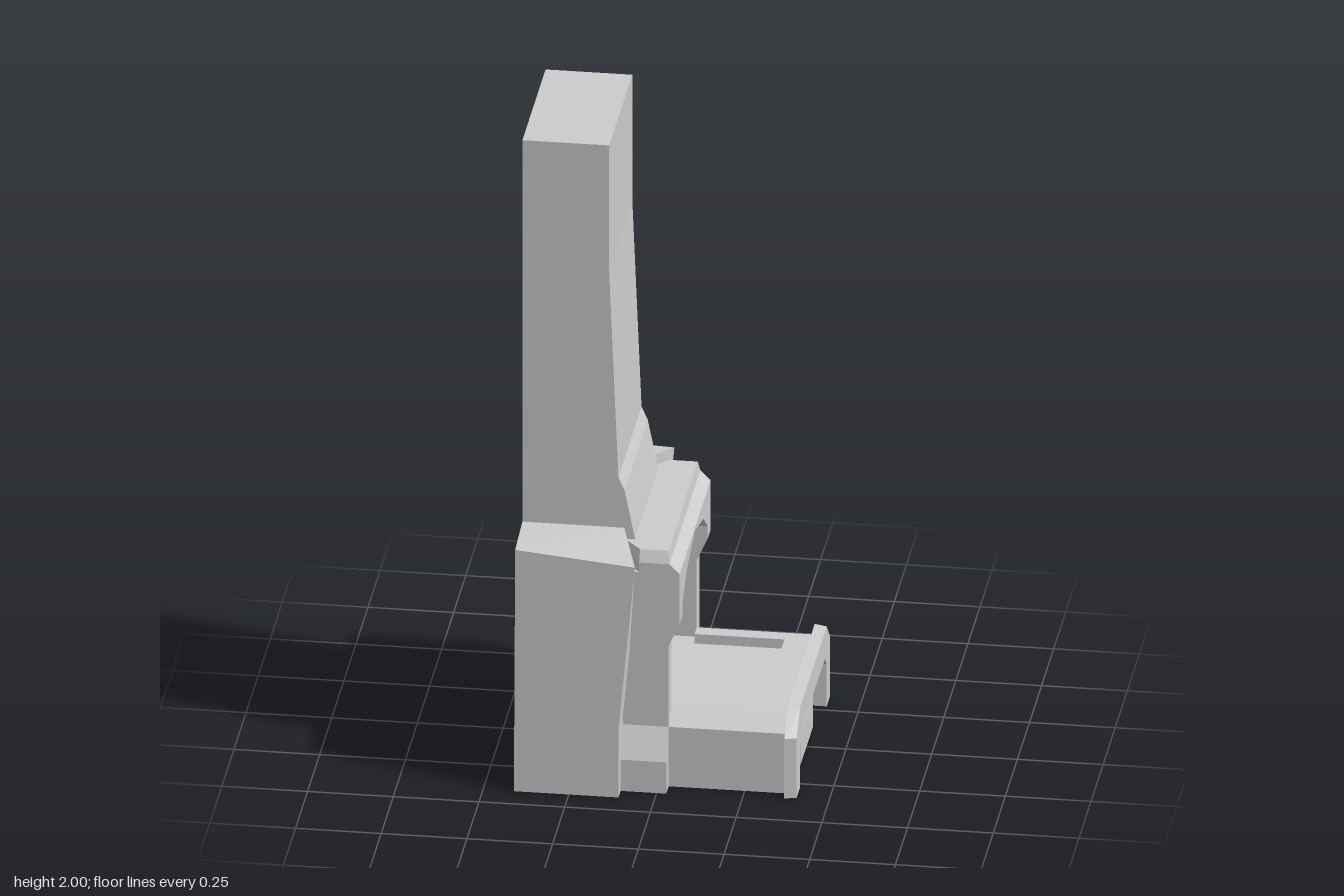
import * as THREE from 'three';

const material = new THREE.MeshStandardMaterial({ color: 0xcccccc, flatShading: true });

const toShape = (pts) => new THREE.Shape(pts.map(([a, b]) => new THREE.Vector2(a, b)));

// Extrudes an outline of [x, y] points from z0 to z1.
function extrudeZ(pts, z0, z1) {
  const g = new THREE.ExtrudeGeometry(toShape(pts), { depth: z1 - z0, bevelEnabled: false });
  return g.translate(0, 0, z0);
}

// Extrudes an outline of [z, y] points from x0 to x1.
function extrudeX(pts, x0, x1) {
  const g = new THREE.ExtrudeGeometry(toShape(pts.map(([z, y]) => [-z, y])), { depth: x1 - x0, bevelEnabled: false });
  return g.rotateY(Math.PI / 2).translate(x0, 0, 0);
}

// Box from its lower and upper bounds.
function box(x0, x1, y0, y1, z0, z1) {
  return new THREE.BoxGeometry(x1 - x0, y1 - y0, z1 - z0)
    .translate((x0 + x1) / 2, (y0 + y1) / 2, (z0 + z1) / 2);
}

// Joins equal-length rings (counter-clockwise seen from the last one) and caps both ends.
function loft(rings) {
  const n = rings[0].length, last = (rings.length - 1) * n, index = [];
  for (let r = 0; r < rings.length - 1; r++) {
    for (let i = 0; i < n; i++) {
      const a = r * n + i, b = r * n + (i + 1) % n;
      index.push(a, b, b + n, a, b + n, a + n);
    }
  }
  for (let i = 1; i < n - 1; i++) index.push(0, i + 1, i, last, last + i, last + i + 1);
  const g = new THREE.BufferGeometry();
  g.setAttribute('position', new THREE.Float32BufferAttribute(rings.flat(2), 3));
  g.setIndex(index);
  const flat = g.toNonIndexed();
  flat.computeVertexNormals();
  return flat;
}

// Reflects a geometry across z = 0, keeping its faces outward.
function mirrorZ(geometry) {
  const g = geometry.index ? geometry.toNonIndexed() : geometry.clone();
  const p = g.attributes.position, src = p.array.slice();
  for (let i = 0; i < p.count; i++) {
    const j = i % 3 === 1 ? i + 1 : i % 3 === 2 ? i - 1 : i;
    p.setXYZ(i, src[j * 3], src[j * 3 + 1], -src[j * 3 + 2]);
  }
  g.computeVertexNormals();
  return g;
}

export function createModel() {
  const model = new THREE.Group();
  model.name = 'fireplace';
  const add = (name, geometry) => {
    const mesh = new THREE.Mesh(geometry, material);
    mesh.name = name;
    model.add(mesh);
  };
  const addPair = (name, geometry) => {
    add(name + 'Left', mirrorZ(geometry));
    add(name + 'Right', geometry);
  };

  // Tall chimney with a gently sloping breast
  add('chimney', extrudeZ([
    [-0.41, 0.65], [-0.08, 0.65], [-0.08, 0.74], [-0.112, 0.9], [-0.13, 0.94],
    [-0.157, 1.6], [-0.157, 2], [-0.41, 2]], -0.24, 0.24));

  // Broad shoulders either side of the firebox, leaning forward at the top
  addPair('shoulder', mirrorZ(loft([
    [[-0.41, 0, 0.26], [-0.105, 0, 0.26], [-0.105, 0.22, 0.26], [-0.113, 0.78, 0.24], [-0.41, 0.78, 0.24]],
    [[-0.41, 0, 0.415], [-0.105, 0, 0.415], [-0.105, 0.22, 0.415], [-0.058, 0.735, 0.408], [-0.41, 0.76, 0.39]],
  ])));

  // Firebox back and floor
  add('fireboxBack', box(-0.41, -0.32, 0, 0.66, -0.26, 0.26));
  add('fireboxFloor', box(-0.32, 0.03, 0, 0.205, -0.26, 0.26));

  // Faceted arch running back over the firebox
  add('arch', extrudeX([
    [-0.26, 0.56], [-0.175, 0.625], [0, 0.67], [0.175, 0.625], [0.26, 0.56],
    [0.26, 0.68], [-0.26, 0.68]], -0.32, 0.06));

  // Surround jambs with corbelled upper front
  addPair('jamb', extrudeZ([
    [-0.11, 0], [0.028, 0], [0.028, 0.45], [0.06, 0.52], [0.06, 0.68], [-0.11, 0.68]], -0.32, -0.26));

  // Flared feet of the jambs
  addPair('jambFoot', extrudeX([
    [-0.3, 0], [-0.37, 0], [-0.37, 0.1], [-0.32, 0.19], [-0.3, 0.19]], -0.105, 0.028));

  // Bevelled mantel cap
  const capRing = (y, front, half) => [
    [-0.113, y, half - 0.065], [-0.058, y, half], [front, y, half],
    [front, y, -half], [-0.058, y, -half], [-0.113, y, 0.065 - half]];
  add('mantelCap', loft([
    capRing(0.68, 0.06, 0.32), capRing(0.71, 0.03, 0.32), capRing(0.745, 0.025, 0.303)]));

  // Hollow hearth: chamfered side rails, front rail and sunken slab
  addPair('hearthRail', extrudeX([
    [-0.32, 0], [-0.32, 0.19], [-0.26, 0.235], [-0.215, 0.235],
    [-0.215, 0.16], [-0.28, 0.16], [-0.28, 0]], 0.028, 0.37));
  add('hearthFrontRail', box(0.29, 0.37, 0.16, 0.235, -0.215, 0.215));
  add('hearthSlab', box(0.028, 0.29, 0.16, 0.205, -0.215, 0.215));

  // Front plate with a cut-out between its legs, tapering towards the front
  const plate = extrudeX([
    [-0.355, 0], [-0.355, 0.19], [-0.275, 0.262], [0.275, 0.262], [0.355, 0.19], [0.355, 0],
    [0.275, 0], [0.275, 0.135], [0.24, 0.17], [-0.24, 0.17], [-0.275, 0.135], [-0.275, 0]], 0.37, 0.405);
  const p = plate.attributes.position;
  for (let i = 0; i < p.count; i++) {
    if (p.getX(i) < 0.39) continue;
    if (Math.abs(p.getZ(i)) > 0.3) p.setZ(i, p.getZ(i) * 0.972);
    if (p.getY(i) > 0.25) p.setY(i, 0.256);
  }
  plate.computeVertexNormals();
  add('hearthFrontPlate', plate);

  // Centre support set back under the front plate
  add('hearthSupport', box(0.33, 0.385, 0, 0.097, -0.13, 0.13));
  add('hearthSupportPanel', box(0.33, 0.37, 0.097, 0.17, -0.28, 0.28));
  return model;
}
